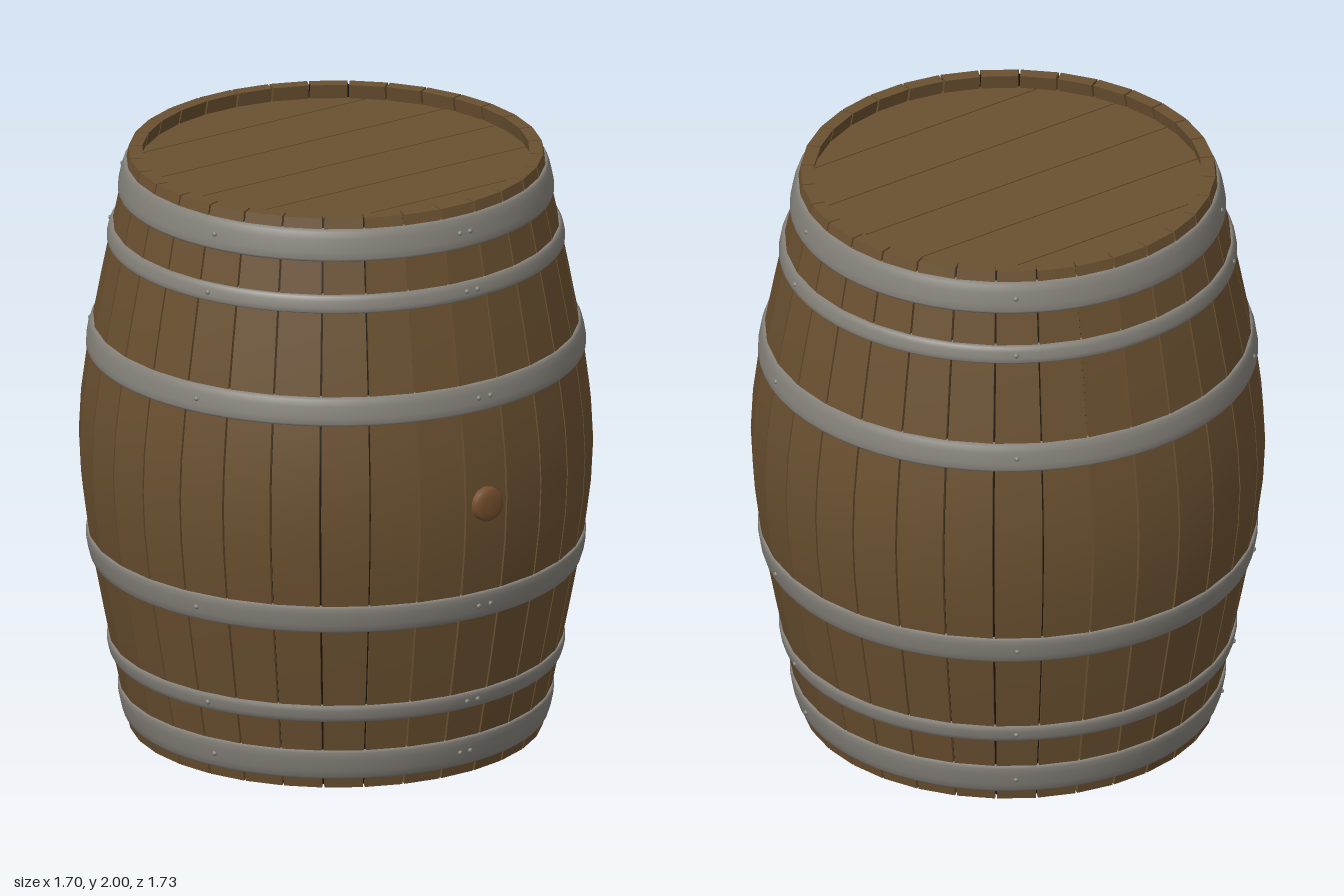
import * as THREE from 'three';

const STAVES = 32, THICK = 0.045, GAP = 0.007;

const material = (name, color) => {
  const m = new THREE.MeshStandardMaterial({ color });
  m.name = name;
  return m;
};

// Outer radius of the barrel at height y: curved belly, nearly straight ends
const radiusAt = (y) => 0.85 + 0.064 - Math.hypot(0.064, 0.22 * (y - 1));

// One stave: a box bent to the barrel profile
function staveGeometry() {
  const geo = new THREE.BoxGeometry(1, 2, 1, 1, 14, 1);
  const p = geo.attributes.position;
  for (let i = 0; i < p.count; i++) {
    const y = p.getY(i) + 1;
    const r = radiusAt(y) - (0.5 - p.getZ(i)) * THICK;
    const half = r * Math.tan(Math.PI / STAVES) - GAP / 2;
    p.setXYZ(i, p.getX(i) * 2 * half, y, r);
  }
  geo.computeVertexNormals();
  return geo;
}

// Rounded iron band that follows the barrel between two heights
function hoopGeometry(y0, y1) {
  const at = (y, out) => new THREE.Vector2(radiusAt(y) + out, y);
  const h = y1 - y0;
  return new THREE.LatheGeometry([
    at(y0, -0.01), at(y0, 0.006), at(y0 + 0.08 * h, 0.011), at(y0 + 0.3 * h, 0.014),
    at(y1 - 0.3 * h, 0.014), at(y1 - 0.08 * h, 0.011), at(y1, 0.006), at(y1, -0.01),
  ], 64);
}

// Lid board: the slice of a disc between two z values
function boardGeometry(z0, z1, radius) {
  const side = [];
  for (let i = 0; i <= 10; i++) {
    const z = z0 + (z1 - z0) * i / 10;
    side.push(new THREE.Vector2(Math.sqrt(Math.max(0, radius * radius - z * z)), z));
  }
  const mirrored = side.map((v) => new THREE.Vector2(-v.x, v.y)).reverse();
  const geo = new THREE.ExtrudeGeometry(new THREE.Shape([...side, ...mirrored]),
    { depth: 0.03, bevelEnabled: false });
  return geo.rotateX(Math.PI / 2);
}

export function createModel() {
  const wood = material('oak wood', 0x6a5030);
  const iron = material('dull iron', 0x85817a);
  const dark = material('dark seam', 0x1c140c);
  dark.side = THREE.DoubleSide;
  const cork = material('bung wood', 0x734d2c);

  const model = new THREE.Group();
  model.name = 'barrel';
  const body = new THREE.Group();
  body.name = 'barrelBody';
  body.position.z = -0.016;
  model.add(body);

  const add = (name, geo, mat, parent = body) => {
    const mesh = new THREE.Mesh(geo, mat);
    mesh.name = name;
    parent.add(mesh);
    return mesh;
  };

  // Staves around the barrel
  const stave = staveGeometry();
  for (let i = 0; i < STAVES; i++) {
    add('stave', stave, wood).rotation.y = i * 2 * Math.PI / STAVES;
  }

  // Dark liner seen through the seams
  const liner = [];
  for (let i = 0; i <= 14; i++) {
    const y = 0.005 + 1.99 * i / 14;
    liner.push(new THREE.Vector2(radiusAt(y) - 0.018, y));
  }
  add('seamLiner', new THREE.LatheGeometry(liner, 64), dark);

  // Boards of the top and bottom lids
  const R = 0.665, pitch = 0.232;
  for (let k = -3; k < 3; k++) {
    const z0 = Math.max(k * pitch + 0.0025, -R);
    const z1 = Math.min((k + 1) * pitch - 0.0025, R);
    const board = boardGeometry(z0, z1, R);
    add('topLidBoard', board, wood).position.y = 1.95;
    add('bottomLidBoard', board, wood).position.y = 0.08;
  }

  // Iron hoops, each with a few rivets
  const rivet = new THREE.SphereGeometry(0.009, 10, 6);
  const hoops = [[0.035, 0.14], [0.25, 0.31], [0.587, 0.682]];
  for (const [a, b] of hoops) {
    for (const [y0, y1] of [[a, b], [2 - b, 2 - a]]) {
      add('hoop', hoopGeometry(y0, y1), iron);
      const y = (y0 + y1) / 2, r = radiusAt(y) + 0.012;
      for (const deg of [-0.8, 2.5, 75, 146, 225, 290]) {
        const t = THREE.MathUtils.degToRad(deg);
        add('rivet', rivet, iron).position.set(r * Math.sin(t), y, r * Math.cos(t));
      }
    }
  }

  // Round bung on the front
  const bungProfile = [[0.06, 0], [0.058, 0.03], [0.052, 0.04], [0.03, 0.044], [0, 0.045]]
    .map(([x, y]) => new THREE.Vector2(x, y));
  const bung = add('bung', new THREE.LatheGeometry(bungProfile, 24), cork, model);
  bung.rotation.x = Math.PI / 2;
  bung.position.set(0, 1, 0.82);

  return model;
}
